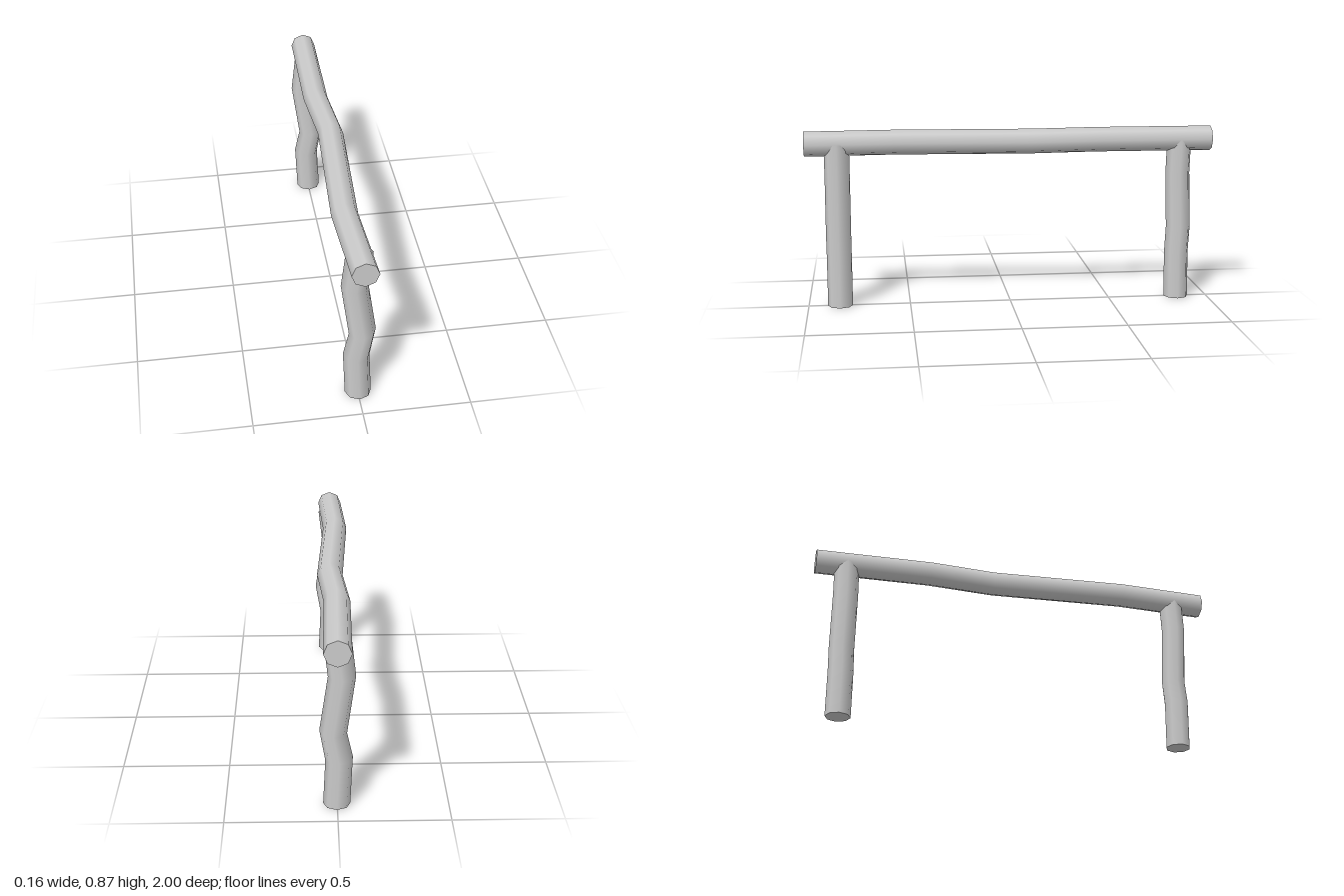
import * as THREE from 'three';

const material = new THREE.MeshStandardMaterial({ color: 0xcccccc });
const RADIUS = 0.061;
const RAIL_Y = 0.807;

// Bends shared by every log: fraction of the length, sideways shift, lean of the ring
const BENDS = [
  [0, 0.002, 0],
  [0.285, -0.008, 0.145],
  [0.45, 0.018, -0.13],
  [0.783, -0.02, 0.03],
  [1, 0, 0],
];

// Crooked eight-sided log growing from the origin along +y
function makeLog(name, length) {
  const rows = BENDS.length - 1;
  const geometry = new THREE.CylinderGeometry(RADIUS, RADIUS, 1, 8, rows);
  const pos = geometry.attributes.position;
  for (let i = 0; i < pos.count; i++) {
    const [t, shift, lean] = BENDS[Math.round((pos.getY(i) + 0.5) * rows)];
    const x = pos.getX(i);
    const ringLean = lean * RAIL_Y / length; // longer logs bend more gently
    pos.setXY(i, x + shift, t * length - x * ringLean);
  }
  const log = new THREE.Mesh(geometry, material);
  log.name = name;
  return log;
}

export function createModel() {
  const group = new THREE.Group();
  group.name = 'logRail';

  // Horizontal rail running back to front
  const rail = makeLog('rail', 2);
  rail.rotation.x = Math.PI / 2;
  rail.position.set(0, RAIL_Y, -1);
  group.add(rail);

  // Two posts ending inside the rail
  for (const [name, z] of [['frontPost', 0.845], ['backPost', -0.845]]) {
    const post = makeLog(name, RAIL_Y);
    post.position.z = z;
    group.add(post);
  }
  return group;
}
